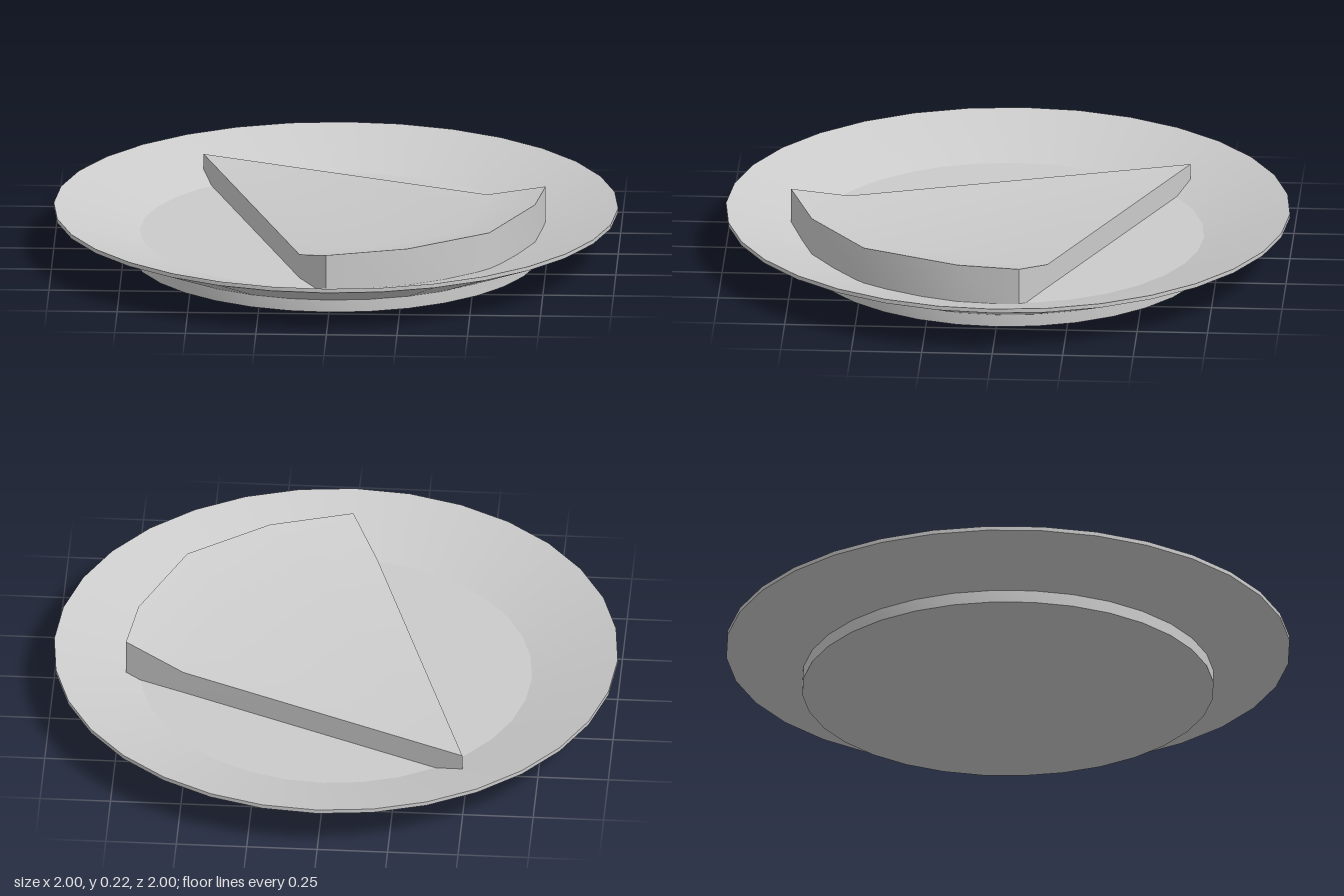
import * as THREE from 'three';
import { toCreasedNormals } from 'three/addons/utils/BufferGeometryUtils.js';

const grey = new THREE.MeshStandardMaterial({ color: 0xcccccc });

function part(name, geometry, crease) {
  const mesh = new THREE.Mesh(toCreasedNormals(geometry, crease), grey);
  mesh.name = name;
  return mesh;
}

// Shallow plate: foot, sloping underside, thin lip, sloping inside, flat floor
function plateGeometry() {
  const profile = [
    [0, 0], [0.73, 0], [0.73, 0.045], [1, 0.155], [1, 0.17], [0.695, 0.076], [0, 0.076],
  ].map(([r, y]) => new THREE.Vector2(r, y));
  return new THREE.LatheGeometry(profile, 32);
}

// Wedge slice: flat top from the tip, rising to a thick curved crust
function sliceGeometry() {
  const base = 0.077, top = 0.163, crust = 0.223;
  const tip = [-0.49, -0.62];
  const outer = [[-0.01, 0.77], [0.28, 0.68], [0.56, 0.48], [0.71, 0.14], [0.74, -0.08]];
  const inner = [[-0.11, 0.57], [0.13, 0.49], [0.39, 0.31], [0.52, 0.01], [0.53, -0.17]];
  const row = (points, y) => points.map(([x, z]) => [x, y, z]);
  const tips = outer.map(() => tip);

  // Cross-section rows over the top, down the crust and back underneath
  const rows = [
    row(tips, top), row(inner, top), row(outer, crust),
    row(outer, base), row(inner, base), row(tips, base),
  ];
  const positions = [];
  const tri = (a, b, c) => {
    const same = (p, q) => p.every((v, i) => v === q[i]);
    if (!same(a, b) && !same(b, c) && !same(c, a)) positions.push(...a, ...b, ...c);
  };
  const quad = (a, b, c, d) => { tri(a, b, c); tri(a, c, d); };

  const last = outer.length - 1;
  for (let k = 0; k < rows.length - 1; k++) {
    for (let i = 0; i < last; i++) {
      quad(rows[k][i], rows[k + 1][i], rows[k + 1][i + 1], rows[k][i + 1]);
    }
  }
  // Two straight cut sides
  for (let k = 0; k < 2; k++) {
    const a = rows[k], c = rows[k + 1], cb = rows[4 - k], ab = rows[5 - k];
    quad(c[0], a[0], ab[0], cb[0]);
    quad(a[last], c[last], cb[last], ab[last]);
  }
  const geometry = new THREE.BufferGeometry();
  geometry.setAttribute('position', new THREE.Float32BufferAttribute(positions, 3));
  return geometry;
}

export function createModel() {
  const group = new THREE.Group();
  group.name = 'plateWithSlice';
  group.add(part('plate', plateGeometry(), 0.25));
  group.add(part('slice', sliceGeometry(), 0.6));
  return group;
}
